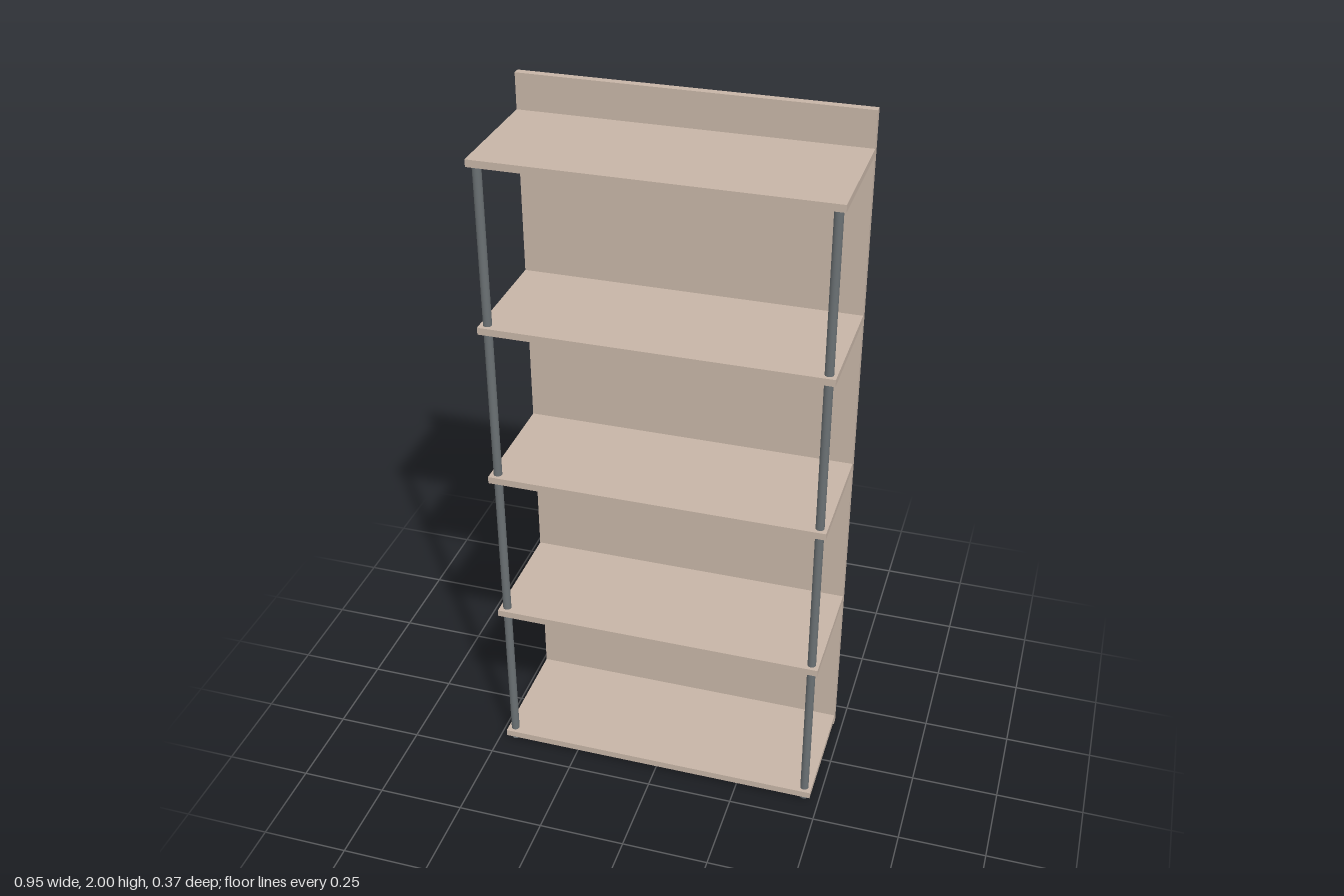
import * as THREE from 'three';

export function createModel() {
  const model = new THREE.Group();
  model.name = 'shelvingUnit';

  const wood = new THREE.MeshStandardMaterial({ color: 0xc6b4a6 });
  wood.name = 'pale wood';
  const metal = new THREE.MeshStandardMaterial({ color: 0x6a7073 });
  metal.name = 'grey metal';

  const width = 0.95, front = 0.187, panel = 0.022;
  const shelfThickness = 0.02, topShelf = 1.89, bottomShelf = 0.026, shelfCount = 5;

  const add = (name, geometry, material, x, y, z) => {
    const mesh = new THREE.Mesh(geometry, material);
    mesh.name = name;
    mesh.position.set(x, y, z);
    model.add(mesh);
  };

  // Full-height back panel
  add('backPanel', new THREE.BoxGeometry(width, 2, panel), wood, 0, 1, -front + panel / 2);

  // Evenly spaced shelves, butted against the panel
  const shelf = new THREE.BoxGeometry(width, shelfThickness, 2 * front - panel);
  for (let i = 0; i < shelfCount; i++) {
    const y = THREE.MathUtils.lerp(bottomShelf, topShelf, i / (shelfCount - 1));
    add(`shelf${i + 1}`, shelf, wood, 0, y, panel / 2);
  }

  // Round front posts, running from the floor to the top shelf
  const postHeight = topShelf - shelfThickness / 2;
  const post = new THREE.CylinderGeometry(0.012, 0.012, postHeight, 24);
  for (const [name, side] of [['leftPost', 1], ['rightPost', -1]]) {
    add(name, post, metal, side * 0.454, postHeight / 2, 0.165);
  }

  return model;
}
